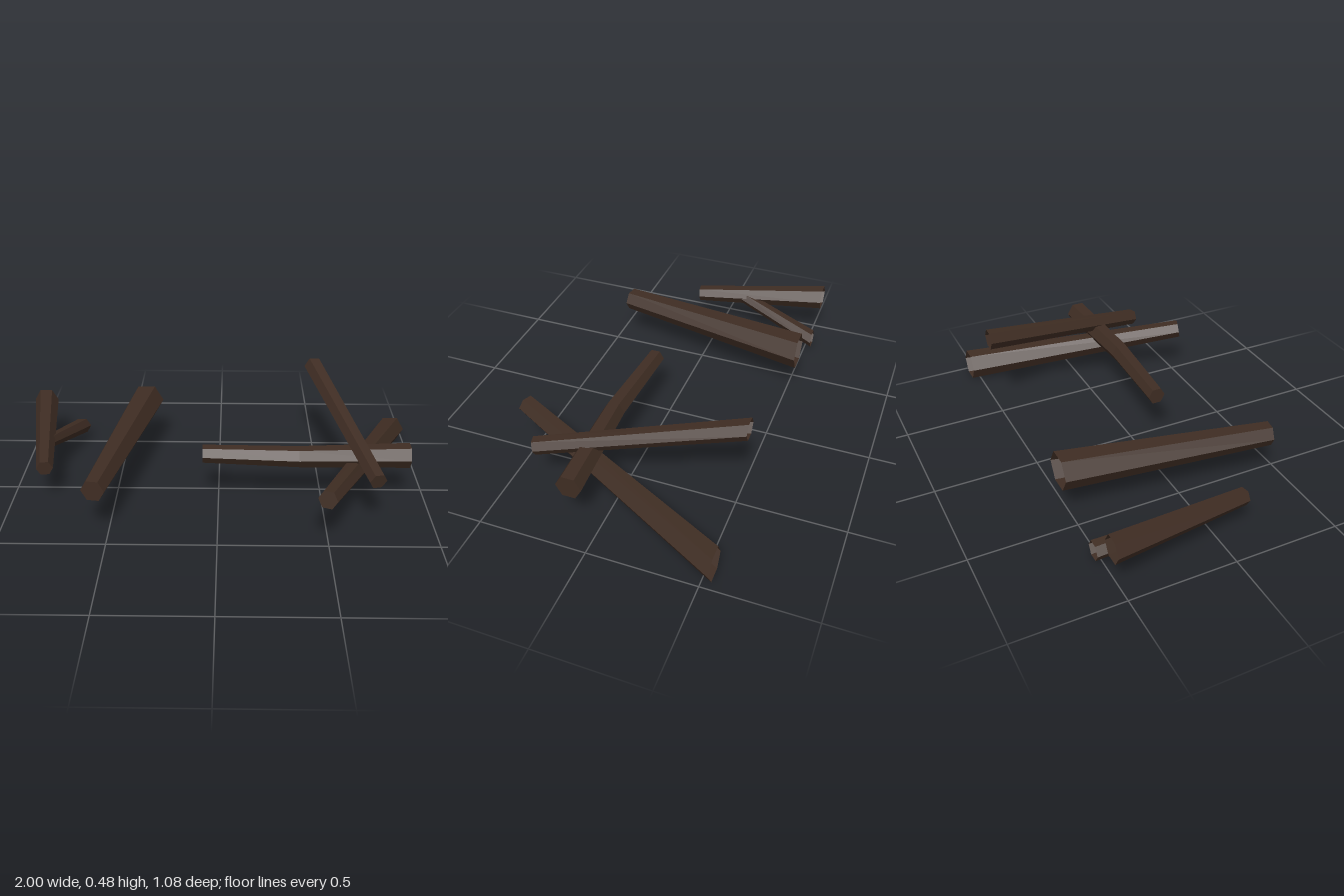
import * as THREE from 'three';

const bark = new THREE.MeshStandardMaterial({ color: 0x3f2d23, side: THREE.DoubleSide });
bark.name = 'dark bark';
bark.flatShading = true;

// Six-sided tapering branch lofted through stations { p: centre, r: radius, n: facing of the cut }.
// Stations without n are cut square to the branch.
function branch(name, stations, capStart = false) {
  const pts = stations.map(s => new THREE.Vector3(...s.p));
  const last = pts.length - 1;
  const rings = stations.map((s, i) => {
    const t = s.n
      ? new THREE.Vector3(...s.n)
      : pts[Math.min(i + 1, last)].clone().sub(pts[Math.max(i - 1, 0)]).normalize();
    const u = new THREE.Vector3(0, 1, 0).cross(t).normalize();
    const v = t.clone().cross(u);
    return Array.from({ length: 6 }, (_, k) => {
      const a = k * Math.PI / 3;
      return pts[i].clone()
        .addScaledVector(u, s.r * Math.cos(a))
        .addScaledVector(v, s.r * Math.sin(a));
    });
  });

  const tri = [];
  for (let k = 0; k < 6; k++) {
    const m = (k + 1) % 6;
    for (let i = 0; i < last; i++) {
      const a = rings[i], b = rings[i + 1];
      tri.push(a[k], a[m], b[m], a[k], b[m], b[k]);
    }
    tri.push(pts[last], rings[last][k], rings[last][m]);
    if (capStart) tri.push(pts[0], rings[0][m], rings[0][k]);
  }
  const geo = new THREE.BufferGeometry().setFromPoints(tri);
  geo.computeVertexNormals();
  const mesh = new THREE.Mesh(geo, bark);
  mesh.name = name;
  return mesh;
}

export function createModel() {
  const model = new THREE.Group();
  model.name = 'branches';
  const Z = [0, 0, 1], X = [1, 0, 0];

  // Branches running forward from a flat, open back cut
  const forward = [
    ['outerRightBranch', [-0.938, 0.235, -0.54], 0.062, [-0.83, 0.18, 0.128], 0.04],
    ['sideTwig', [-0.755, 0.078, -0.54], 0.045, [-0.86, 0.2, -0.1], 0.032],
    ['thickBranch', [-0.395, 0.237, -0.54], 0.088, [-0.555, 0.237, 0.432], 0.055],
    ['lowLeftBranch', [0.923, 0.068, -0.54], 0.077, [0.48, 0.256, 0.523], 0.045],
    ['highLeftBranch', [0.495, 0.437, -0.54], 0.05, [0.722, 0.254, 0.358], 0.041],
  ];
  for (const [name, p0, r0, p1, r1] of forward) {
    model.add(branch(name, [{ p: p0, r: r0, n: Z }, { p: p1, r: r1 }]));
  }

  // Slightly bent branch lying crosswise, closed at both ends
  model.add(branch('crossBranch', [
    { p: [-0.075, 0.253, 0.103], r: 0.043, n: X },
    { p: [0.38, 0.254, 0.128], r: 0.05, n: X },
    { p: [0.905, 0.254, 0.107], r: 0.059, n: X },
  ], true));

  return model;
}
